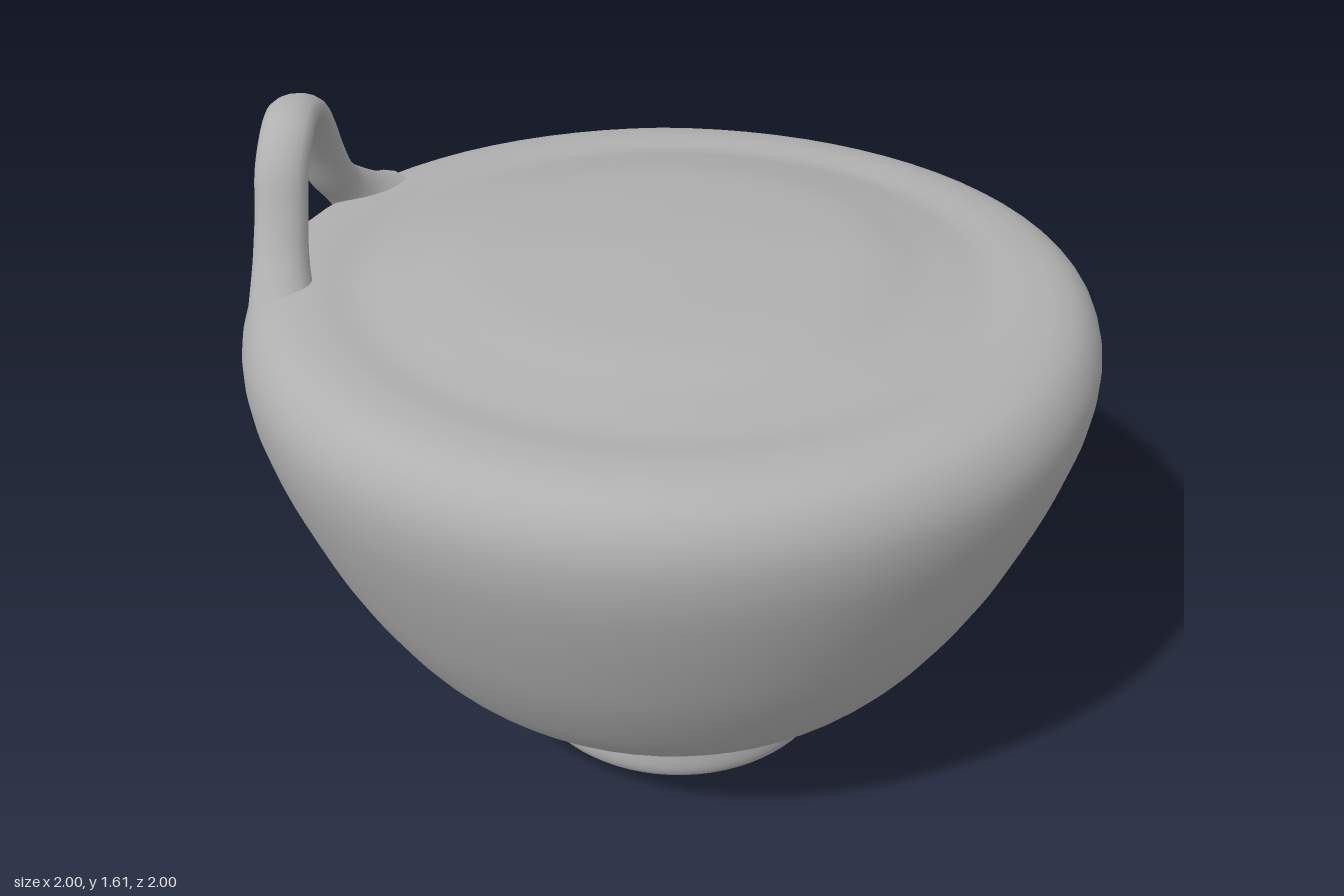
import * as THREE from 'three';
import { mergeVertices } from 'three/addons/utils/BufferGeometryUtils.js';

const clay = new THREE.MeshStandardMaterial({ color: 0xb0b0b0 });
clay.name = 'grey clay';

// Weld seams and rebuild smooth normals after a shape has been altered
function smooth(geometry) {
  geometry.deleteAttribute('uv');
  geometry.deleteAttribute('normal');
  const welded = mergeVertices(geometry, 1e-4);
  welded.computeVertexNormals();
  return welded;
}

// Turn a smoothed profile around y, then move each vertex by a rule
function turned(name, profile, steps, move) {
  const curve = new THREE.SplineCurve(profile.map(([r, y]) => new THREE.Vector2(r, y)));
  const points = curve.getPoints(steps).map((p) => new THREE.Vector2(Math.max(0, p.x), p.y));
  const geometry = new THREE.LatheGeometry(points, 72);
  const pos = geometry.attributes.position;
  const v = new THREE.Vector3();
  for (let i = 0; i < pos.count; i++) {
    v.fromBufferAttribute(pos, i);
    move(v);
    pos.setXYZ(i, v.x, v.y, v.z);
  }
  const mesh = new THREE.Mesh(smooth(geometry), clay);
  mesh.name = name;
  return mesh;
}

// The foot sits slightly off centre; the bowl blends into it
function shiftFoot(v) {
  const k = 1 - THREE.MathUtils.smoothstep(v.y, 0.15, 0.4);
  v.x += 0.015 * k;
  v.z += 0.028 * k;
}

// The top sags to the back and a little to the left, with a shallow crescent dent
function shapeBowl(v) {
  const r = Math.hypot(v.x, v.z);
  const top = THREE.MathUtils.smoothstep(v.y, 0.95, 1.25);
  const sag = 0.075 * Math.pow(Math.max(0, -v.z), 1.2) + 0.02 * Math.max(0, v.x);
  const facing = r > 0 ? Math.max(0, (v.x * 0.6 + v.z * 0.8) / r) : 0;
  const dent = 0.012 * Math.exp(-(((r - 0.58) / 0.09) ** 2)) * facing;
  if (v.y > 1.2) v.y -= dent;
  v.y -= top * sag;
  shiftFoot(v);
}

// Loop handle: a flattened tube that flares where it meets the rim
function makeHandle() {
  const path = new THREE.CatmullRomCurve3([
    [-0.88, 1.14, 0.13], [-0.89, 1.23, 0.09], [-0.89, 1.32, 0.04], [-0.885, 1.4, 0.003],
    [-0.88, 1.49, -0.035], [-0.87, 1.55, -0.09], [-0.865, 1.568, -0.16], [-0.855, 1.55, -0.23],
    [-0.85, 1.48, -0.295], [-0.845, 1.4, -0.345], [-0.83, 1.31, -0.395], [-0.79, 1.24, -0.45],
    [-0.74, 1.17, -0.5],
  ].map((p) => new THREE.Vector3(...p)));
  const rings = 60, sides = 16;
  const geometry = new THREE.TubeGeometry(path, rings, 0.038, sides, false);
  const pos = geometry.attributes.position;
  const v = new THREE.Vector3();
  for (let i = 0; i < pos.count; i++) {
    const t = Math.floor(i / (sides + 1)) / rings;
    const centre = path.getPointAt(t);
    const flare = 1 + 1.5 * Math.pow(Math.abs(2 * t - 1), 6);
    v.fromBufferAttribute(pos, i).sub(centre).multiplyScalar(flare);
    v.x *= 1.6 - 0.5 * Math.pow(Math.abs(2 * t - 1), 4);
    v.add(centre);
    pos.setXYZ(i, v.x, v.y, v.z);
  }
  const mesh = new THREE.Mesh(smooth(geometry), clay);
  mesh.name = 'handle';
  return mesh;
}

export function createModel() {
  const model = new THREE.Group();
  model.name = 'bowl with handle';

  // Short round foot with a slightly domed underside
  model.add(turned('foot', [
    [0, 0], [0.2, 0.006], [0.34, 0.018], [0.385, 0.032], [0.404, 0.065],
    [0.404, 0.12], [0.4, 0.16], [0.41, 0.21],
  ], 40, shiftFoot));

  // Deep rounded wall, soft rim and closed top with a low raised middle
  model.add(turned('bowl', [
    [0.37, 0.14], [0.405, 0.163], [0.46, 0.205], [0.6, 0.285], [0.72, 0.4], [0.84, 0.6],
    [0.925, 0.8], [0.98, 0.97], [0.998, 1.08], [0.99, 1.16], [0.955, 1.222], [0.9, 1.255],
    [0.82, 1.265], [0.72, 1.259], [0.6, 1.28], [0.45, 1.303], [0.2, 1.31], [0, 1.31],
  ], 90, shapeBowl));

  model.add(makeHandle());
  return model;
}
